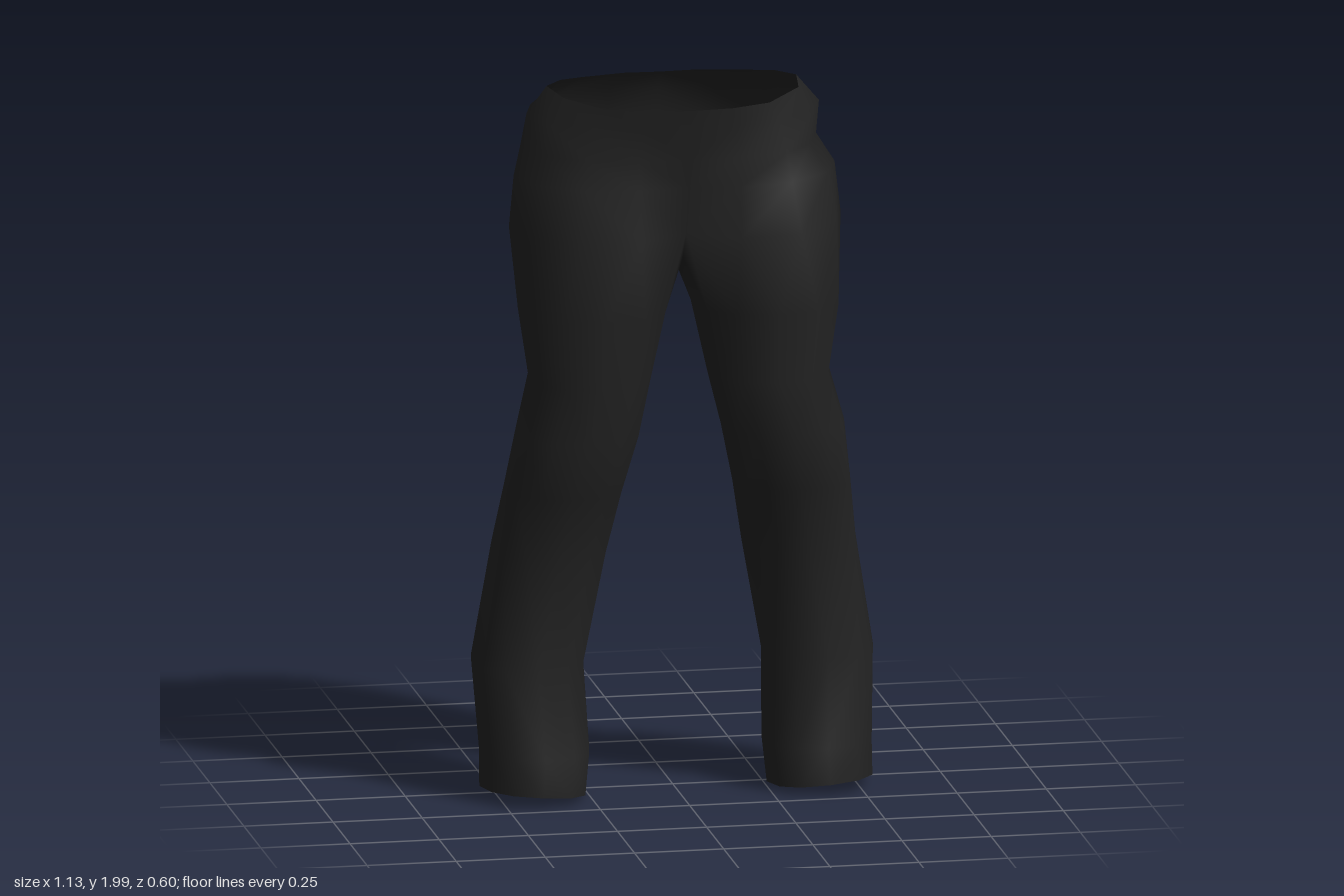
import * as THREE from 'three';
import { mergeVertices } from 'three/addons/utils/BufferGeometryUtils.js';

// Hip half-rings, from front centre round the left side to back centre: height, then [x, z] pairs
const HIPS = [
  [1.985, [0, .275], [.12, .265], [.23, .22], [.33, .12], [.35, -.02], [.3, -.08], [.22, -.16], [.1, -.185], [0, -.18]],
  [1.93, [0, .265], [.13, .26], [.26, .21], [.37, .12], [.41, 0], [.38, -.1], [.28, -.2], [.13, -.24], [0, -.22]],
  [1.84, [0, .25], [.14, .25], [.28, .22], [.39, .13], [.43, .01], [.39, -.12], [.29, -.22], [.13, -.28], [0, -.23]],
  [1.76, [0, .24], [.14, .265], [.29, .24], [.41, .14], [.45, .02], [.4, -.12], [.29, -.22], [.12, -.298], [0, -.225]],
  [1.62, [0, .2], [.14, .285], [.31, .28], [.43, .16], [.465, .03], [.41, -.09], [.3, -.17], [.13, -.21], [0, -.17]],
];
// Crotch seam between the legs, back to front: [y, z]
const CROTCH = [[1.56, -.1], [1.5, .04], [1.54, .15]];
// Leg sections: y, inner x, outer x, back z, front z
const LEG = [
  [1.4, .035, .45, -.135, .3],
  [1.2, .08, .42, -.1, .27],
  [1.05, .115, .46, -.07, .282],
  [.88, .155, .485, -.105, .23],
  [.7, .19, .51, -.165, .185],
  [.38, .25, .563, -.18, .16],
  [.14, .242, .55, -.137, .212],
  [.025, .255, .55, -.13, .22],
];
const SIDES = 12, HALF = 9;

// Slightly squared oval with point 4 on the outside and point 10 on the inside
function legRing([y, xi, xo, zb, zf], isHem) {
  const squash = v => Math.sign(v) * Math.pow(Math.abs(v), .85);
  return Array.from({ length: SIDES }, (_, k) => {
    const a = (4 - k) * Math.PI / 6, c = squash(Math.cos(a)), s = squash(Math.sin(a));
    const lift = isHem ? .012 * c + .013 * s : 0;
    return [(xi + xo) / 2 + c * (xo - xi) / 2, y + lift, (zb + zf) / 2 + s * (zf - zb) / 2];
  });
}

function sideRings(side) {
  const rings = HIPS.map(([y, ...pts], r) => pts.map(([x, z], k) => {
    const outer = k >= 3 && k <= 5;
    const dent = side > 0 && r === 2 && outer ? .03 : 0; // fold at the left hip
    return [x - dent, r === 0 && outer ? 2 : y, z];
  }));
  rings[rings.length - 1].push(...CROTCH.map(([y, z]) => [0, y, z]));
  LEG.forEach((row, i) => rings.push(legRing(row, i === LEG.length - 1)));
  return rings;
}

function trousersGeometry() {
  const pos = [], index = [];
  for (const side of [1, -1]) {
    const rings = sideRings(side), starts = [];
    for (const ring of rings) {
      starts.push(pos.length / 3);
      for (const [x, y, z] of ring) pos.push(side * x, y, z);
    }
    for (let r = 0; r < rings.length - 1; r++) {
      const closed = rings[r].length === SIDES;
      const count = closed ? SIDES : HALF - 1;
      for (let k = 0; k < count; k++) {
        const n = closed ? (k + 1) % SIDES : k + 1;
        const a = starts[r] + k, b = starts[r] + n, c = starts[r + 1] + k, d = starts[r + 1] + n;
        if (side > 0) index.push(a, c, b, b, c, d);
        else index.push(a, b, c, b, d, c);
      }
    }
  }
  const geo = new THREE.BufferGeometry();
  geo.setAttribute('position', new THREE.Float32BufferAttribute(pos, 3));
  geo.setIndex(index);
  // Weld the centre seam so shading runs smoothly across it
  const welded = mergeVertices(geo, 1e-4);
  welded.computeVertexNormals();
  return welded;
}

export function createModel() {
  const group = new THREE.Group();
  group.name = 'trousers';
  const cloth = new THREE.MeshStandardMaterial({ color: 0x222222, side: THREE.DoubleSide });
  cloth.name = 'black cloth';
  const mesh = new THREE.Mesh(trousersGeometry(), cloth);
  mesh.name = 'trouserCloth';
  group.add(mesh);
  return group;
}
